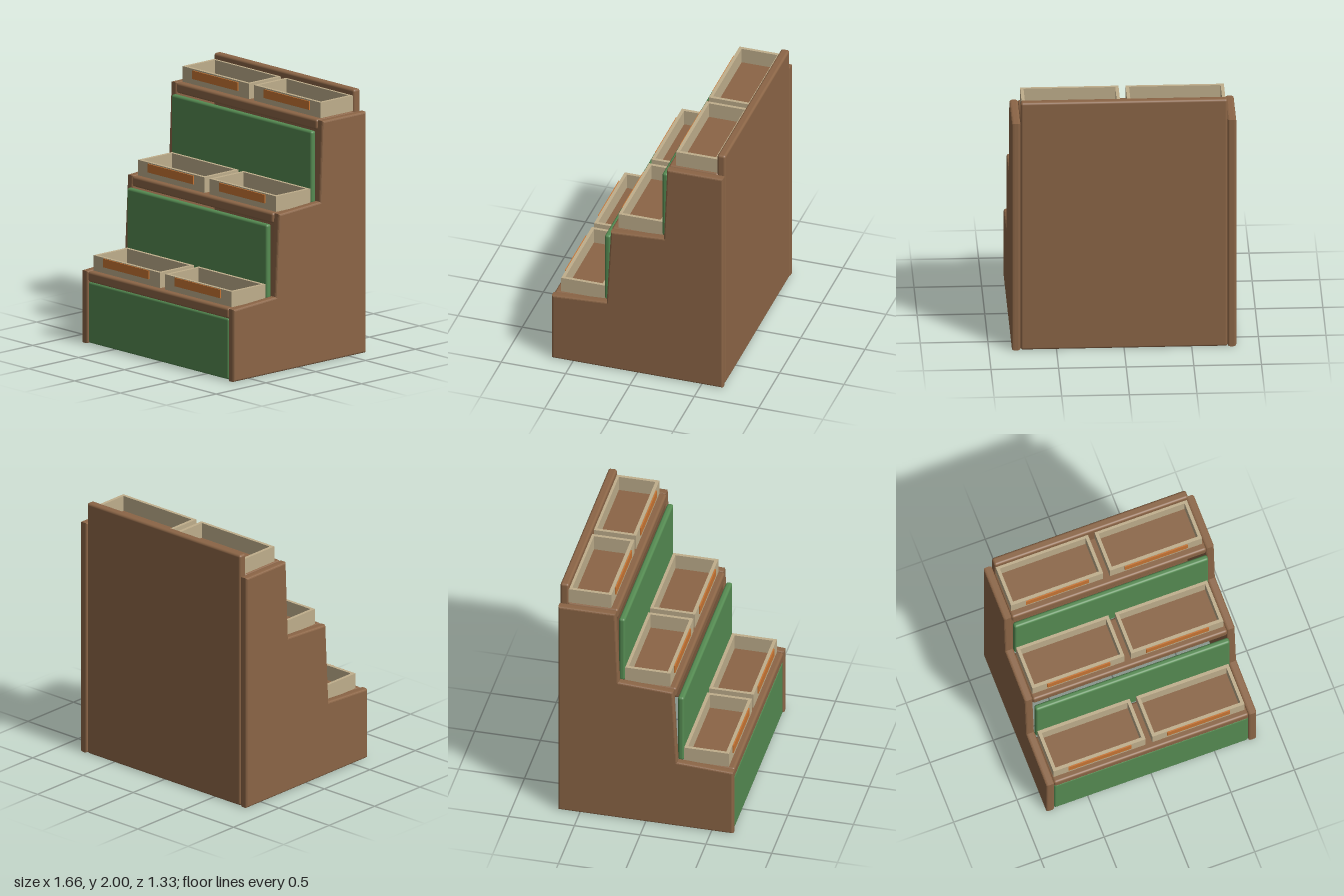
import * as THREE from 'three';
import { RoundedBoxGeometry } from 'three/addons/geometries/RoundedBoxGeometry.js';

const material = (name, color) => new THREE.MeshStandardMaterial({ name, color });

export function createModel() {
  const wood = material('brownWood', 0x8b6546);
  const green = material('greenPanel', 0x558b52);
  const tan = material('paleTray', 0xbfae8c);
  const orange = material('orangeLabel', 0xc87533);

  const model = new THREE.Group();
  model.name = 'steppedDisplayStand';

  const add = (parent, name, geometry, mat) => {
    const mesh = new THREE.Mesh(geometry, mat);
    mesh.name = name;
    parent.add(mesh);
    return mesh;
  };

  // Board with softened edges, given by its extents
  const board = (name, x0, x1, y0, y1, z0, z1, mat) => {
    const geometry = new RoundedBoxGeometry(x1 - x0, y1 - y0, z1 - z0, 3, 0.018);
    add(model, name, geometry, mat).position.set((x0 + x1) / 2, (y0 + y1) / 2, (z0 + z1) / 2);
  };

  // Stepped side panels, profile as [z, y]
  const profile = [
    [0.665, 0], [0.665, 0.55], [0.24, 0.575], [0.207, 1.2],
    [-0.205, 1.225], [-0.23, 1.835], [-0.665, 1.835], [-0.665, 0],
  ];
  const shape = new THREE.Shape(profile.map(([z, y]) => new THREE.Vector2(-z, y)));
  const sideGeometry = new THREE.ExtrudeGeometry(shape, {
    depth: 0.029, bevelEnabled: true, bevelThickness: 0.018,
    bevelSize: 0.014, bevelOffset: -0.014, bevelSegments: 3,
  });
  sideGeometry.translate(0, 0, -0.0145).rotateY(Math.PI / 2);
  for (const s of [-1, 1]) {
    add(model, s > 0 ? 'leftSide' : 'rightSide', sideGeometry, wood).position.x = s * 0.7975;
  }

  // Tall back board
  board('backBoard', -0.765, 0.765, 0, 2, -0.665, -0.6, wood);

  // Open tray: four thin walls and a label on the front
  const tray = (x0, x1, y0, y1, z0, z1, labelY) => {
    const group = new THREE.Group();
    group.name = 'tray';
    const wall = 0.025;
    const w = x1 - x0, h = y1 - y0, d = z1 - z0;
    group.position.set((x0 + x1) / 2, (y0 + y1) / 2, (z0 + z1) / 2);
    for (const s of [-1, 1]) {
      add(group, s > 0 ? 'trayFront' : 'trayBack', new THREE.BoxGeometry(w, h, wall), tan)
        .position.z = s * (d - wall) / 2;
      add(group, 'trayEnd', new THREE.BoxGeometry(wall, h, d - 2 * wall), tan)
        .position.x = s * (w - wall) / 2;
    }
    add(group, 'trayLabel', new THREE.BoxGeometry(0.495, 0.065, 0.009), orange)
      .position.set(0, labelY - group.position.y, d / 2 + 0.0045);
    model.add(group);
  };

  // Each step: shelf, green riser below it, and a pair of trays on top
  const steps = [
    { top: 0.55, shelf: [0.27, 0.662], riser: [0.005, 0.472], riserZ: [0.615, 0.66], tray: [0.275, 0.615], trayTop: 0.667, label: 0.63 },
    { top: 1.2, shelf: [-0.18, 0.217], riser: [0.555, 1.12], riserZ: [0.228, 0.275], tray: [-0.175, 0.17], trayTop: 1.318, label: 1.277 },
    { top: 1.837, shelf: [-0.61, -0.225], riser: [1.205, 1.755], riserZ: [-0.22, -0.173], tray: [-0.605, -0.278], trayTop: 1.955, label: 1.912 },
  ];
  for (const s of steps) {
    board('shelf', -0.768, 0.768, s.top - 0.08, s.top, ...s.shelf, wood);
    board('riserPanel', -0.766, 0.766, ...s.riser, ...s.riserZ, green);
    tray(-0.755, -0.028, s.top - 0.002, s.trayTop, ...s.tray, s.label);
    tray(0.024, 0.752, s.top - 0.002, s.trayTop, ...s.tray, s.label);
  }

  return model;
}
